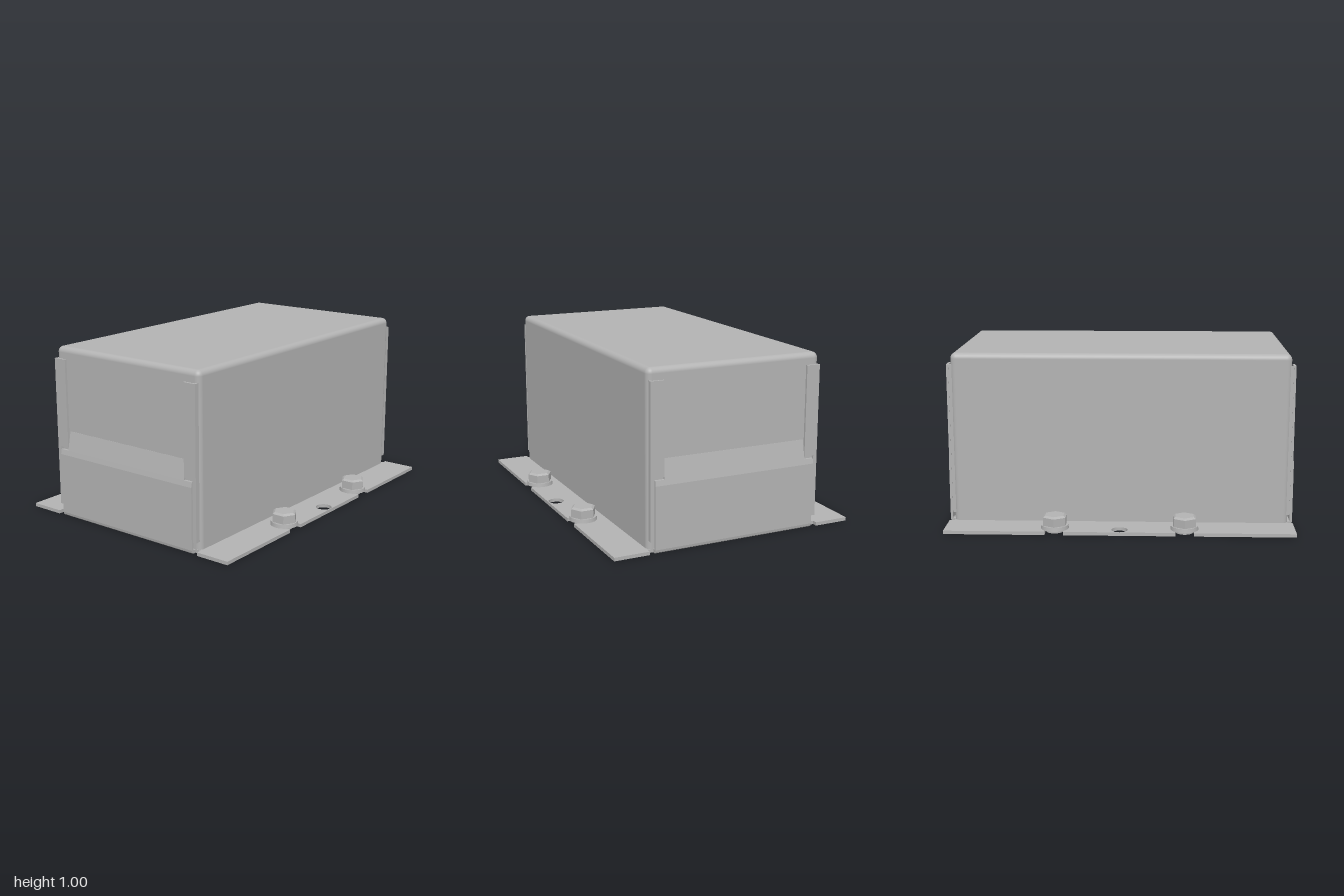
import * as THREE from 'three';
import { RoundedBoxGeometry } from 'three/addons/geometries/RoundedBoxGeometry.js';

const steel = new THREE.MeshStandardMaterial({ color: 0xb3b3b3 });
steel.name = 'grey steel';

function part(name, geometry, parent, x = 0, y = 0, z = 0) {
  const mesh = new THREE.Mesh(geometry, steel);
  mesh.name = name;
  mesh.position.set(x, y, z);
  parent.add(mesh);
  return mesh;
}

// Sheet outline given as [x, y] points, extruded to a depth centred on z = 0
function sheet(points, depth) {
  const shape = new THREE.Shape(points.map(([x, y]) => new THREE.Vector2(x, y)));
  return new THREE.ExtrudeGeometry(shape, { depth, bevelEnabled: false }).translate(0, 0, -depth / 2);
}

// Base plate with open bolt slots, two round holes and corner reliefs
function basePlate() {
  const s = new THREE.Shape();
  const slotX = 0.37, r = 0.053, edge = 0.73, slotEnd = 0.64;
  s.moveTo(-1, -edge);
  for (const x of [-slotX, slotX]) {
    s.lineTo(x - r, -edge);
    s.lineTo(x - r, -slotEnd);
    s.absarc(x, -slotEnd, r, Math.PI, 0, true);
    s.lineTo(x + r, -edge);
  }
  s.lineTo(1, -edge);
  for (const [x, y] of [[1, -0.525], [0.97, -0.525], [0.97, -0.49], [0.988, -0.49],
    [0.988, 0.49], [0.97, 0.49], [0.97, 0.525], [1, 0.525], [1, edge]]) s.lineTo(x, y);
  for (const x of [slotX, -slotX]) {
    s.lineTo(x + r, edge);
    s.lineTo(x + r, slotEnd);
    s.absarc(x, slotEnd, r, 0, -Math.PI, true);
    s.lineTo(x - r, edge);
  }
  for (const [x, y] of [[-1, edge], [-1, 0.525], [-0.97, 0.525], [-0.97, 0.49], [-0.988, 0.49],
    [-0.988, -0.49], [-0.97, -0.49], [-0.97, -0.525], [-1, -0.525]]) s.lineTo(x, y);
  for (const y of [-0.68, 0.68]) {
    s.holes.push(new THREE.Path().absarc(0, y, 0.046, 0, Math.PI * 2, true));
  }
  return new THREE.ExtrudeGeometry(s, { depth: 0.02, bevelEnabled: false, curveSegments: 20 })
    .rotateX(-Math.PI / 2);
}

// Cover with rounded top and upright edges, cut off square at the plate
function cover() {
  const g = new RoundedBoxGeometry(1.94, 1.1, 1.05, 5, 0.032).translate(0, 0.455, 0);
  const p = g.attributes.position;
  for (let i = 0; i < p.count; i++) p.setY(i, Math.max(p.getY(i), 0.012));
  return g;
}

// Hex bolt with a round flange
function bolt() {
  const g = new THREE.Group();
  g.name = 'bolt';
  part('boltShank', new THREE.CylinderGeometry(0.05, 0.05, 0.03, 28), g, 0, 0.016, 0);
  part('boltFlange', new THREE.CylinderGeometry(0.077, 0.08, 0.022, 36), g, 0, 0.031, 0);
  const head = new THREE.CylinderGeometry(0.074, 0.074, 0.05, 6).toNonIndexed();
  head.computeVertexNormals();
  part('boltHead', head, g, 0, 0.065, 0);
  const chamfer = new THREE.CylinderGeometry(0.06, 0.074, 0.01, 6).toNonIndexed();
  chamfer.computeVertexNormals();
  part('boltChamfer', chamfer, g, 0, 0.095, 0);
  return g;
}

// Folded-up end flange and the two cover tabs beside it
function endAssembly() {
  const g = new THREE.Group();
  g.name = 'end';
  part('endFlange', sheet([[0.976, 0], [0.99, 0], [0.997, 0.006], [1, 0.02], [1, 0.375],
    [0.994, 0.405], [0.98, 0.405], [0.986, 0.37], [0.986, 0.02], [0.976, 0.015]], 0.98), g);
  part('endFlangeSlope', sheet([[0.994, 0.405], [0.971, 0.515], [0.96, 0.515], [0.98, 0.405]], 0.87), g);
  for (const side of [-1, 1]) {
    part('tabUpper', new THREE.BoxGeometry(0.013, 0.52, 0.081), g, 0.9865, 0.68, side * 0.4755);
    part('tabLower', new THREE.BoxGeometry(0.013, 0.355, 0.022), g, 0.9865, 0.2425, side * 0.505);
    part('tabFold', new THREE.BoxGeometry(0.022, 0.875, 0.012), g, 0.972, 0.5025, side * 0.508);
  }
  return g;
}

export function createModel() {
  const model = new THREE.Group();
  model.name = 'mountedBox';
  part('basePlate', basePlate(), model);
  part('cover', cover(), model);

  // Both ends
  for (const turn of [0, Math.PI]) {
    const end = endAssembly();
    end.rotation.y = turn;
    model.add(end);
  }

  // Four bolts
  for (const x of [-0.37, 0.37]) {
    for (const z of [-0.652, 0.652]) {
      const b = bolt();
      b.position.set(x, 0, z);
      model.add(b);
    }
  }
  return model;
}
